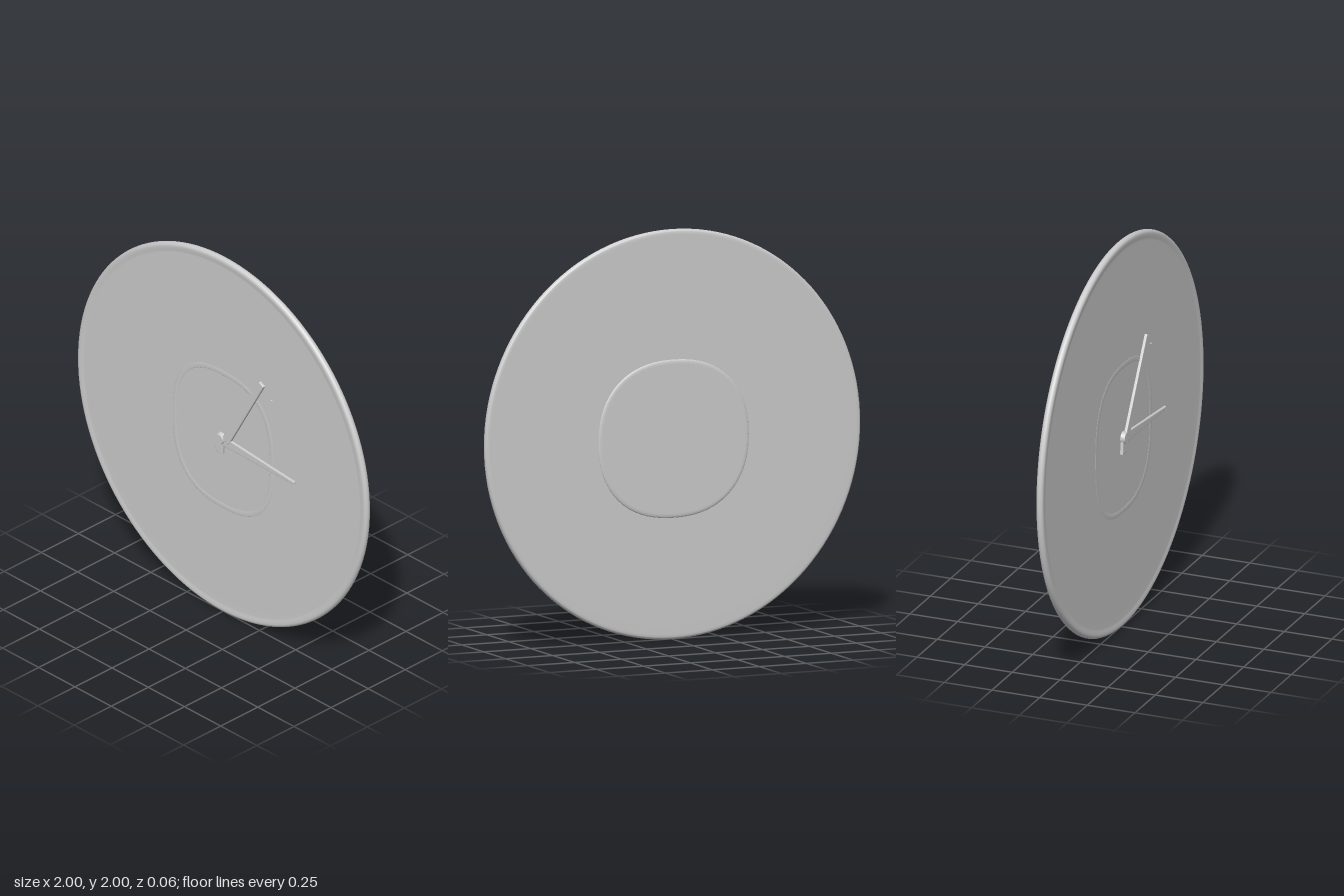
import * as THREE from 'three';

const CY = 0.98; // height of the hand pivot

export function createModel() {
  const group = new THREE.Group();
  const material = new THREE.MeshStandardMaterial({ color: 0xcccccc });
  const add = (name, geometry, x = 0, y = 0, z = 0) => {
    const mesh = new THREE.Mesh(geometry, material);
    mesh.name = name;
    mesh.position.set(x, y, z);
    group.add(mesh);
    return mesh;
  };

  // Round face with a soft rolled rim and a faint lip at the front
  const profile = [new THREE.Vector2(0, -0.023), new THREE.Vector2(0.9, -0.023), new THREE.Vector2(0.975, -0.023)];
  for (let i = 1; i <= 10; i++) {
    const a = -Math.PI / 2 + (i / 10) * Math.PI;
    profile.push(new THREE.Vector2(0.982 + 0.018 * Math.cos(a), -0.005 + 0.018 * Math.sin(a)));
  }
  for (const [r, z] of [[0.97, 0.0125], [0.96, 0.01], [0.95, 0.0095], [0.9, 0.0095], [0, 0.0095]]) {
    profile.push(new THREE.Vector2(r, z));
  }
  add('clockFace', new THREE.LatheGeometry(profile, 128).rotateX(Math.PI / 2), 0, 1, 0);

  // Rounded-square outline shared by the back plate and the faint front ridge
  const roundedSquare = (rx, ry, power) => (t) => {
    const c = Math.cos(t), s = Math.sin(t);
    const k = Math.pow(Math.abs(c) ** power + Math.abs(s) ** power, -1 / power);
    return new THREE.Vector2(rx * k * c, ry * k * s);
  };

  // Low dome-edged plate on the back, built from concentric rings
  const outline = roundedSquare(0.4, 0.385, 2.3);
  const plateShape = new THREE.Shape(Array.from({ length: 72 }, (_, i) => outline((i / 72) * Math.PI * 2).multiplyScalar(0.95)));
  const plate = new THREE.ExtrudeGeometry(plateShape, {
    depth: 0.004, bevelEnabled: true, bevelThickness: 0.007, bevelSize: 0.02, bevelSegments: 4,
  });
  add('backPlate', plate, 0, CY, -0.0235);

  // Faint raised ring in the middle of the front
  class Ring extends THREE.Curve {
    getPoint(t) {
      const p = roundedSquare(0.335, 0.375, 2.6)(t * Math.PI * 2);
      return new THREE.Vector3(p.x, p.y, 0);
    }
  }
  const ridge = new THREE.TubeGeometry(new Ring(), 96, 0.016, 8, true).scale(1, 1, 0.12);
  add('frontRidge', ridge, 0.01, CY, 0.0088);

  // Tapered, bevelled bar running between two points
  const hand = (name, from, to, w0, w1, top) => {
    const dx = to[0] - from[0], dy = to[1] - from[1];
    const length = Math.hypot(dx, dy), b = 0.004;
    const shape = new THREE.Shape([
      new THREE.Vector2(b, -w0 / 2 + b), new THREE.Vector2(length - b, -w1 / 2 + b),
      new THREE.Vector2(length - b, w1 / 2 - b), new THREE.Vector2(b, w0 / 2 - b),
    ]);
    const geometry = new THREE.ExtrudeGeometry(shape, {
      depth: top - b, bevelEnabled: true, bevelThickness: b, bevelSize: b, bevelSegments: 2,
    });
    add(name, geometry, from[0], from[1], 0).rotation.z = Math.atan2(dy, dx);
  };
  hand('upperHand', [0.035, 0.985], [0.285, 1.415], 0.05, 0.034, 0.023);
  hand('sideHand', [0.01, 0.978], [0.51, 0.953], 0.052, 0.016, 0.021);
  hand('handTail', [0.0, 0.985], [-0.008, 0.905], 0.05, 0.05, 0.024);

  // Pivot cap and a tiny mark on the face
  add('pivotCap', new THREE.CylinderGeometry(0.026, 0.034, 0.03, 24).rotateX(Math.PI / 2), 0, CY + 0.005, 0.016);
  add('faceMark', new THREE.SphereGeometry(0.008, 10, 6).scale(1, 0.6, 0.6), 0.345, 1.345, 0.0095);

  return group;
}
